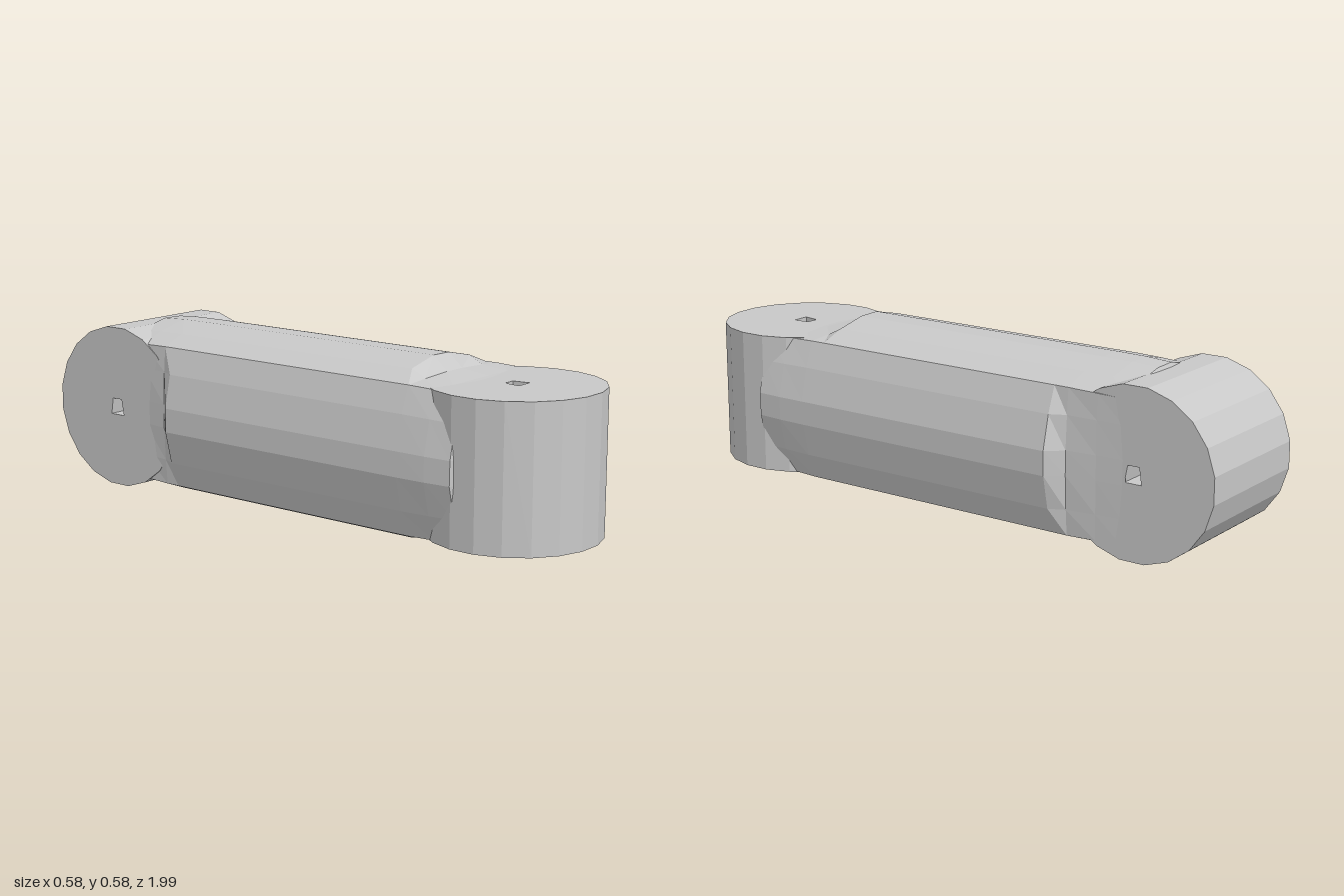
import * as THREE from 'three';

const MID_Y = 0.293;

// Faceted drum along z with a small square bore through it
function drumGeometry(radius, length, sides) {
  const shape = new THREE.Shape();
  for (let i = 0; i < sides; i++) {
    const a = ((i + 0.5) / sides) * Math.PI * 2;
    const x = Math.cos(a) * radius, y = Math.sin(a) * radius;
    if (i === 0) shape.moveTo(x, y); else shape.lineTo(x, y);
  }
  shape.closePath();
  const bore = new THREE.Path();
  bore.moveTo(-0.03, -0.027);
  bore.lineTo(-0.02, 0.027);
  bore.lineTo(0.02, 0.027);
  bore.lineTo(0.028, -0.027);
  bore.closePath();
  shape.holes.push(bore);
  const geo = new THREE.ExtrudeGeometry(shape, { depth: length, bevelEnabled: false });
  return geo.translate(0, 0, -length / 2);
}

// Rounded-square cross-section, counterclockwise seen from the front
function section(z, top, side, corner) {
  const steps = [[-1, 0], [-0.64, 0.55], [-0.17, 0.97], [0.17, 1], [0.64, 0.55]];
  const points = [];
  for (let q = 0; q < 4; q++) {
    const reach = q % 2 === 0 ? side : top;
    const a = (q * Math.PI) / 2, c = Math.cos(a), s = Math.sin(a);
    for (const [t, bulge] of steps) {
      const u = corner + (reach - corner) * bulge, v = t * corner;
      points.push([u * c - v * s, MID_Y + u * s + v * c, z]);
    }
  }
  return points;
}

// Skin joining the cross-sections from front to back
function loft(sections) {
  const pos = [];
  for (let i = 0; i < sections.length - 1; i++) {
    const a = sections[i], b = sections[i + 1], n = a.length;
    for (let j = 0; j < n; j++) {
      const k = (j + 1) % n;
      pos.push(...a[j], ...b[j], ...a[k], ...a[k], ...b[j], ...b[k]);
    }
  }
  const geo = new THREE.BufferGeometry();
  geo.setAttribute('position', new THREE.Float32BufferAttribute(pos, 3));
  geo.computeVertexNormals();
  return geo;
}

export function createModel() {
  const model = new THREE.Group();
  model.name = 'linkArm';
  const grey = new THREE.MeshStandardMaterial({ color: 0xc8c8c8, flatShading: true });
  grey.name = 'light grey';

  const add = (name, geometry) => {
    const mesh = new THREE.Mesh(geometry, grey);
    mesh.name = name;
    model.add(mesh);
    return mesh;
  };

  // Upright drum at the front
  const front = add('frontDrum', drumGeometry(0.273, 0.46, 20));
  front.rotation.x = -Math.PI / 2;
  front.position.set(0, MID_Y, 0.727);

  // Crosswise drum at the back
  const back = add('backDrum', drumGeometry(0.273, 0.46, 20));
  back.rotation.y = Math.PI / 2;
  back.position.set(-0.004, MID_Y, -0.727);

  // Bar: z, reach across the drum axis plane ends, reach beside the drum, corner
  const half = [
    [0.7, 0.226, 0.262, 0.223],
    [0.69, 0.226, 0.282, 0.225],
    [0.6, 0.231, 0.287, 0.228],
    [0.5, 0.243, 0.288, 0.231],
    [0.45, 0.288, 0.288, 0.231],
  ];
  const frontHalf = half.map(([z, flat, round, c]) => section(z, flat, round, c));
  const backHalf = half.map(([z, flat, round, c]) => section(-z, round, flat, c)).reverse();
  add('bar', loft([...frontHalf, ...backHalf]));

  return model;
}
